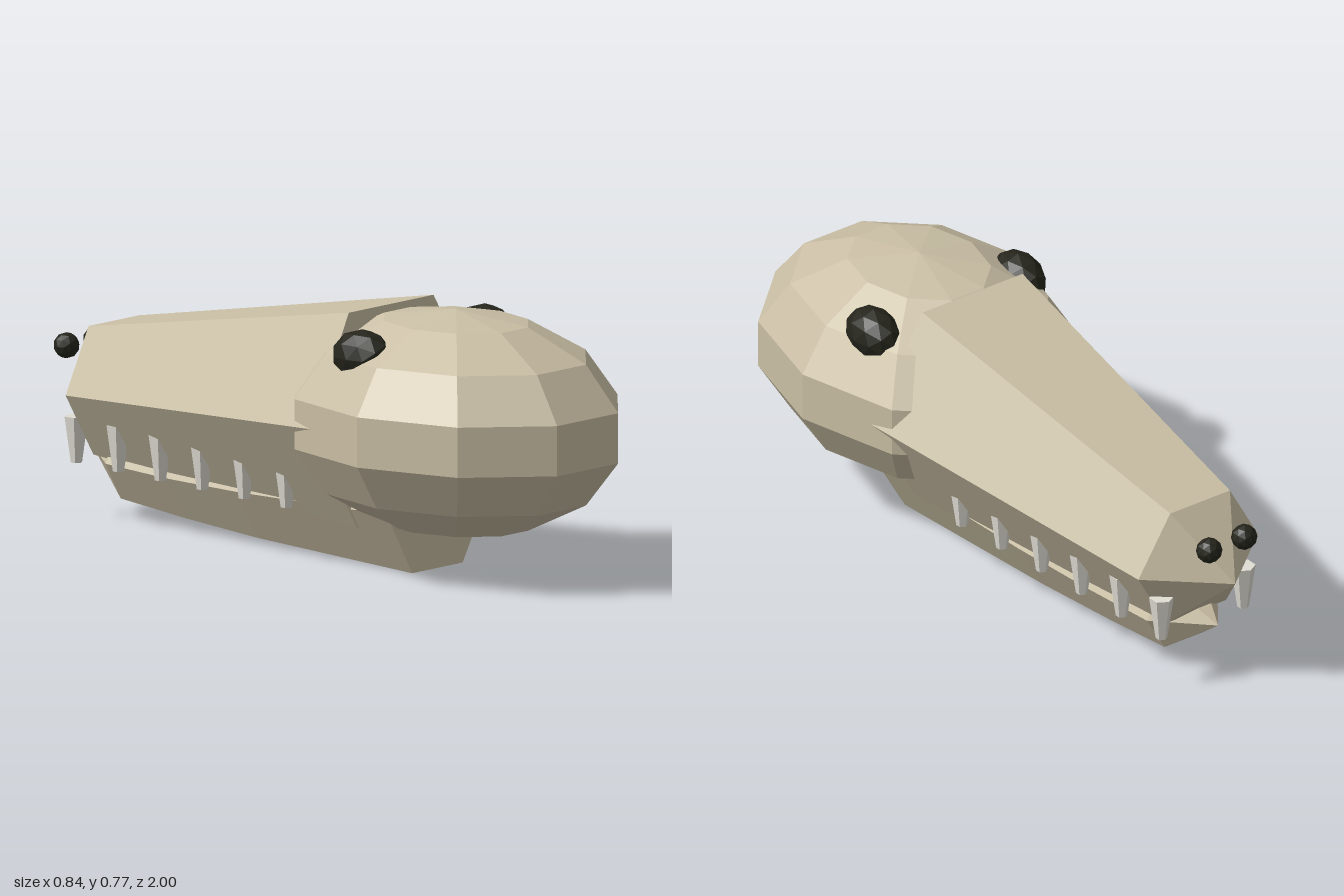
import * as THREE from 'three';

const flat = (name, color) => {
  const m = new THREE.MeshStandardMaterial({ color, flatShading: true });
  m.name = name;
  return m;
};

// Six-sided body lofted through sections [z, y, radius] running from +z to -z.
// lean slides each ring along z with height so its plane tilts.
function hexLoft(sections, lean = 0) {
  const pos = [], index = [], n = 6;
  for (const [z, y, r] of sections) {
    for (let k = 0; k < n; k++) {
      const a = (k / n) * Math.PI * 2, dy = r * Math.sin(a);
      pos.push(r * Math.cos(a), y + dy, z - lean * dy);
    }
  }
  for (let i = 0; i < sections.length - 1; i++) {
    const last = sections[i + 1][2] === 0;
    for (let k = 0; k < n; k++) {
      const a = i * n + k, b = i * n + ((k + 1) % n), c = b + n, d = a + n;
      if (last) index.push(a, d, b);
      else index.push(a, d, c, a, c, b);
    }
  }
  for (let k = 1; k < n - 1; k++) index.push(0, k, k + 1); // rear cap
  const g = new THREE.BufferGeometry();
  g.setAttribute('position', new THREE.Float32BufferAttribute(pos, 3));
  g.setIndex(index);
  g.computeVertexNormals();
  return g;
}

export function createModel() {
  const model = new THREE.Group();
  model.name = 'reptileHead';
  const skin = flat('skin', 0xcabfa5);
  const dark = flat('dark', 0x24241b);
  const ivory = flat('ivory', 0xe0ddd4);

  const add = (name, geometry, material, x = 0, y = 0, z = 0) => {
    const mesh = new THREE.Mesh(geometry, material);
    mesh.name = name;
    mesh.position.set(x, y, z);
    model.add(mesh);
    return mesh;
  };

  // Faceted skull
  add('skull', new THREE.SphereGeometry(1, 10, 7), skin, 0, 0.436, 0.49).scale.set(0.431, 0.329, 0.55);

  // Tapering upper jaw with a pointed nose
  add('upperJaw', hexLoft([[0.255, 0.435, 0.36], [-0.825, 0.369, 0.215], [-1, 0.36, 0]], 0.05), skin);

  // Lower jaw, its underside rising gently toward the tip
  add('lowerJaw', hexLoft([
    [0.418, 0.186, 0.215], [-0.2, 0.163, 0.168], [-0.5, 0.16, 0.144],
    [-0.75, 0.167, 0.127], [-0.92, 0.185, 0],
  ]), skin);

  const eyeGeo = new THREE.IcosahedronGeometry(1, 1);
  const nostrilGeo = new THREE.IcosahedronGeometry(0.038, 1);
  const toothGeo = new THREE.CylinderGeometry(0.036, 0.017, 0.135, 6);

  for (const s of [1, -1]) {
    const side = s > 0 ? 'left' : 'right';
    add(side + 'Eye', eyeGeo, dark, s * 0.26, 0.647, 0.365).scale.set(0.07, 0.08, 0.1);
    add(side + 'Nostril', nostrilGeo, dark, s * 0.063, 0.476, -0.96);
    // Row of tapered teeth, set wider toward the back
    for (let i = 0; i < 6; i++) {
      const t = i / 5;
      add(side + 'Tooth' + (i + 1), toothGeo, ivory,
        s * (0.205 - 0.058 * t), 0.222 + 0.008 * t, 0.02 - 0.865 * t);
    }
  }
  return model;
}
